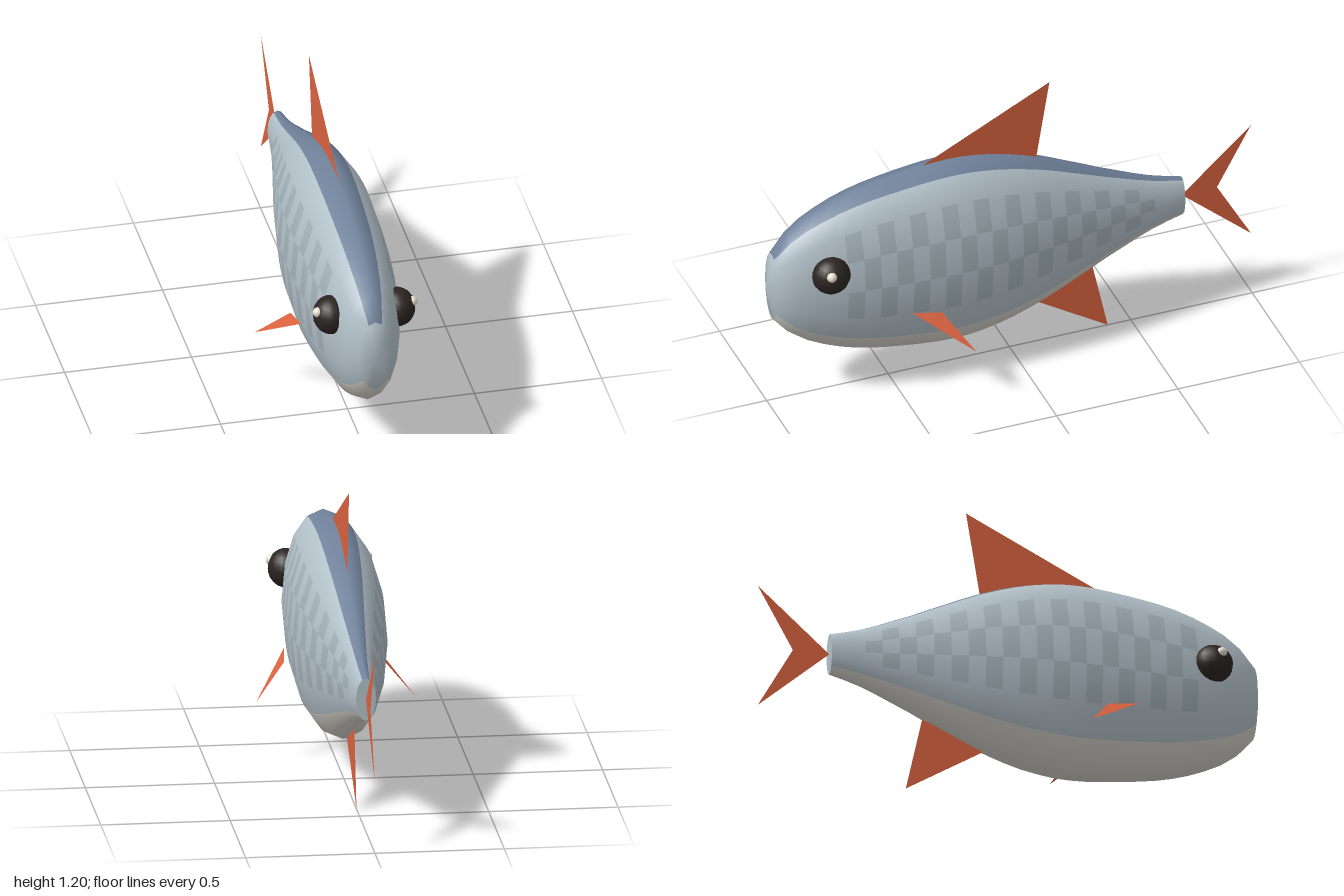
import * as THREE from 'three';

const SIDES = 16, RINGS = 26, CENTRE_Y = 0.535, ASPECT = 0.455;
const NOSE_Z = 0.98, TAIL_Z = -0.71;

const mat = (color, side = THREE.FrontSide) =>
  new THREE.MeshStandardMaterial({ color, side });

// Half height of the body at stations along z
const profile = new THREE.SplineCurve([
  [0.98, 0.15], [0.9, 0.24], [0.78, 0.31], [0.6, 0.37], [0.3, 0.41], [0.1, 0.395], [-0.1, 0.335],
  [-0.3, 0.245], [-0.5, 0.155], [-0.6, 0.115], [-0.71, 0.085],
].map(([z, h]) => new THREE.Vector2(z, h))).getPoints(400);

function halfHeight(z) {
  const i = profile.findIndex((p) => p.x <= z + 1e-6);
  return profile[i < 0 ? profile.length - 1 : i].y;
}

// Elliptical loft, its faces sorted into coloured regions that share smooth normals
function makeBody() {
  const pos = [];
  const faces = { body: [], back: [], belly: [], scales: [] };
  for (let r = 0; r <= RINGS; r++) {
    const z = NOSE_Z + (TAIL_Z - NOSE_Z) * (r / RINGS);
    const h = halfHeight(z);
    for (let s = 0; s < SIDES; s++) {
      const a = (s / SIDES) * Math.PI * 2;
      pos.push(Math.sin(a) * h * ASPECT, CENTRE_Y + Math.cos(a) * h, z);
    }
  }
  const nose = pos.length / 3;
  pos.push(0, CENTRE_Y, 1);

  for (let s = 0; s < SIDES; s++) {
    const t = (s + 1) % SIDES;
    const row = Math.min(s, SIDES - 1 - s); // 0 at the top, 7 at the bottom
    faces.body.push(nose, t, s);
    for (let r = 0; r < RINGS; r++) {
      let key = 'body';
      if (row === 0) key = 'back';
      else if (row >= 6) key = 'belly';
      else if (row >= 2 && row <= 4 && r >= 4 && r < 24 && (r + row) % 2 === 0) key = 'scales';
      const a = r * SIDES + s, b = r * SIDES + t;
      faces[key].push(a, b, a + SIDES, b, b + SIDES, a + SIDES);
    }
  }
  const whole = new THREE.BufferGeometry();
  whole.setAttribute('position', new THREE.Float32BufferAttribute(pos, 3));
  whole.setIndex(Object.values(faces).flat());
  whole.computeVertexNormals();

  const colors = { body: 0xb3c1c9, back: 0x71839c, belly: 0xd3d0c8, scales: 0xa3b2b9 };
  const group = new THREE.Group();
  group.name = 'body';
  for (const key in faces) {
    const g = new THREE.BufferGeometry();
    g.setAttribute('position', whole.attributes.position);
    g.setAttribute('normal', whole.attributes.normal);
    g.setIndex(faces[key]);
    const mesh = new THREE.Mesh(g, mat(colors[key]));
    mesh.name = key === 'body' ? 'flanks' : key;
    group.add(mesh);
  }

  // Flat end where the tail fin joins
  const h = halfHeight(TAIL_Z);
  const cap = new THREE.Mesh(new THREE.CircleGeometry(1, SIDES), mat(colors.body));
  cap.scale.set(h * ASPECT, h, 1);
  cap.rotation.y = Math.PI;
  cap.position.set(0, CENTRE_Y, TAIL_Z);
  cap.name = 'tailStump';
  group.add(cap);
  return group;
}

// Flat fin from corner points, fanned from the first one
function makeFin(name, points) {
  const tris = [];
  for (let i = 1; i < points.length - 1; i++) tris.push(...points[0], ...points[i], ...points[i + 1]);
  const g = new THREE.BufferGeometry();
  g.setAttribute('position', new THREE.Float32BufferAttribute(tris, 3));
  g.computeVertexNormals();
  const fin = new THREE.Mesh(g, mat(0xd9623f, THREE.DoubleSide));
  fin.name = name;
  return fin;
}

function makeBall(name, radius, color, x, y, z) {
  const ball = new THREE.Mesh(new THREE.SphereGeometry(radius, 16, 12), mat(color));
  ball.position.set(x, y, z);
  ball.name = name;
  return ball;
}

export function createModel() {
  const fish = new THREE.Group();
  fish.name = 'fish';
  fish.add(makeBody());

  // Fins on the centre line
  fish.add(
    makeFin('dorsalFin', [[0, 0.94, 0.36], [0, 1.2, -0.165], [0, 0.86, -0.11]]),
    makeFin('analFin', [[0, 0.205, -0.085], [0, 0.305, -0.34], [0, 0.005, -0.405]]),
    makeFin('tailFin', [[0, 0.535, -0.71], [0, 0.79, -0.995], [0, 0.535, -0.855], [0, 0.285, -0.995]]),
  );

  // Paired fins and eyes
  for (const [side, s] of [['left', 1], ['right', -1]]) {
    fish.add(makeFin(`${side}PectoralFin`,
      [[s * 0.176, 0.395, 0.47], [s * 0.19, 0.375, 0.35], [s * 0.31, 0.245, 0.255]]));
    const eye = makeBall(`${side}Eye`, 0.076, 0x2b2522, s * 0.132, 0.622, 0.785);
    eye.scale.x = 0.9;
    fish.add(eye, makeBall(`${side}EyeGlint`, 0.02, 0xe6dfcb, s * 0.186, 0.65, 0.803));
  }
  return fish;
}
